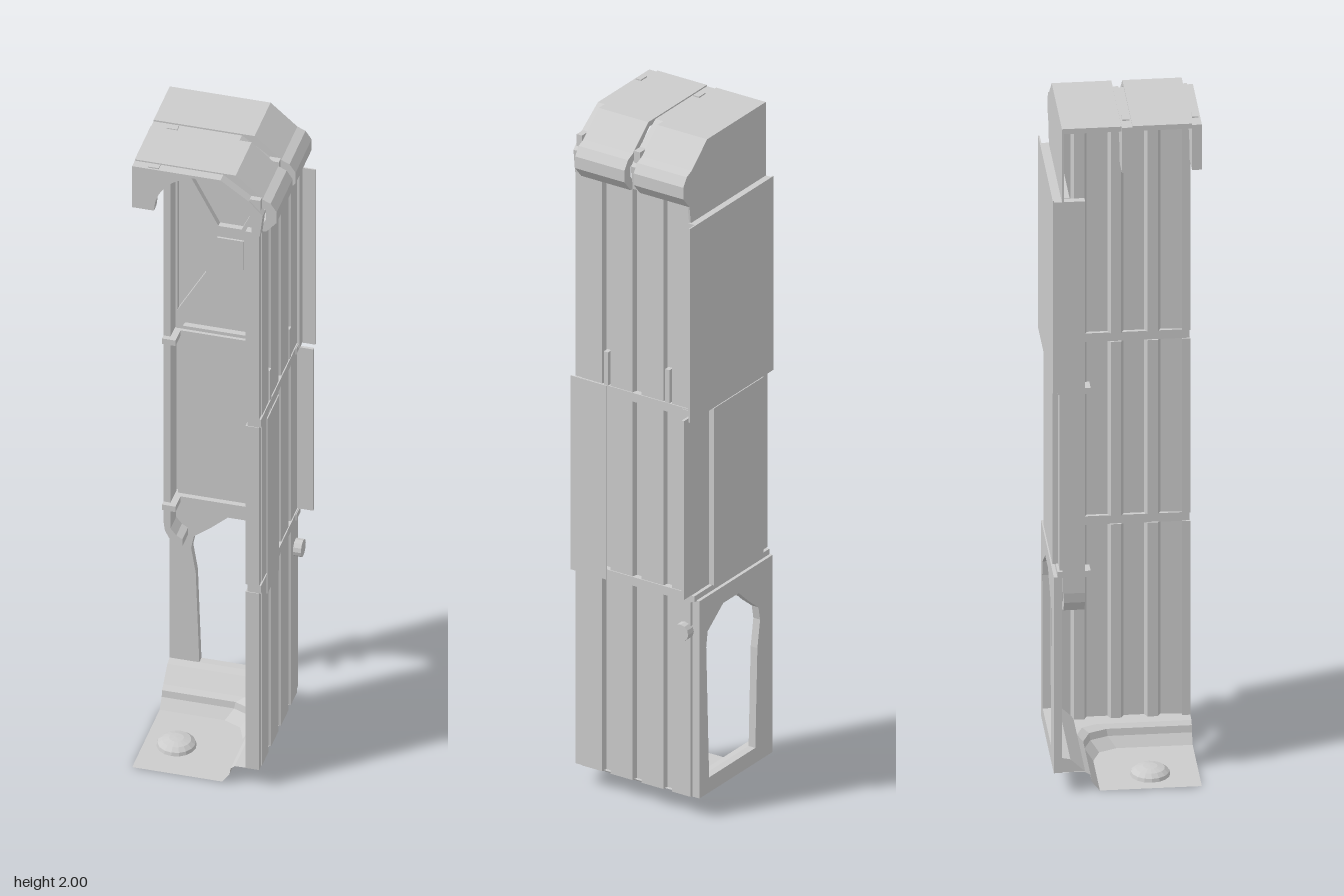
import * as THREE from 'three';

const mat = new THREE.MeshStandardMaterial({ color: 0xcccccc, flatShading: true, side: THREE.DoubleSide });

export function createModel() {
  const root = new THREE.Group();
  const add = (name, geo) => {
    const m = new THREE.Mesh(geo, mat);
    m.name = name;
    root.add(m);
    return m;
  };
  // Box from its min and max corners
  const box = (name, x0, x1, y0, y1, z0, z1) =>
    add(name, new THREE.BoxGeometry(x1 - x0, y1 - y0, z1 - z0)
      .translate((x0 + x1) / 2, (y0 + y1) / 2, (z0 + z1) / 2));
  const toShape = pts => new THREE.Shape(pts.map(p => new THREE.Vector2(...p)));
  // Front-facing outline with optional holes, extruded from z0 to z1
  const plate = (name, pts, z0, z1, holes = []) => {
    const s = toShape(pts);
    s.holes = holes.map(toShape);
    return add(name, new THREE.ExtrudeGeometry(s, { depth: z1 - z0, bevelEnabled: false }).translate(0, 0, z0));
  };

  // Roof: two shells with a sloped cornice
  const roof = [[-0.203, 2], [0.08, 2], [0.155, 1.935], [0.178, 1.925], [0.195, 1.9], [0.195, 1.865], [0.165, 1.83]];
  const inner = [[0.14, 1.83], [0.165, 1.87], [0.165, 1.9], [0.145, 1.915], [0.075, 1.985], [-0.203, 1.985]];
  for (const z of [-0.177, 0.014]) plate('roofShell', [...roof, ...inner], z, z + 0.161);

  // Arched ribs with a hanging foot at the open side
  const arch = [];
  for (let i = 0; i <= 14; i++) {
    const a = Math.PI * i / 14;
    arch.push([-0.005 + 0.137 * Math.cos(a), 1.86 + 0.13 * Math.sin(a)]);
  }
  for (const [z0, z1] of [[-0.015, 0.015], [0.175, 0.202]]) {
    plate('roofRib', [[-0.203, 1.86], [-0.203, 1.996], [0.045, 1.996], [0.125, 1.94], [0.163, 1.9],
      [0.155, 1.83], [0.132, 1.83], ...arch], z0, z1);
    box('roofClip', -0.16, -0.13, 1.98, 1.9995, z0 + 0.005, z1 - 0.005);
    box('roofClip', 0.125, 0.155, 1.91, 1.945, z0 + 0.005, z1 - 0.005);
  }

  // Back wall: gable, overhanging upper panel, recessed middle panel
  plate('backGable', [[-0.203, 1.75], ...roof, [0.155, 1.75]], -0.178, -0.172);
  box('backUpperPanel', -0.203, 0.163, 1.205, 1.78, -0.2, -0.172);
  box('backUpperSkin', -0.203, 0.2, 1.205, 1.785, -0.203, -0.199);
  box('backMiddleWall', -0.203, 0.2, 0.67, 1.205, -0.184, -0.176);
  box('backMiddleSkin', -0.16, 0.08, 0.67, 1.2, -0.2, -0.184);

  // Inside face of the back wall: cross-braced panel and plain panel
  plate('crossBrace', [[-0.18, 1.22], [0.115, 1.22], [0.115, 1.78], [-0.18, 1.78]], -0.172, -0.155, [
    [[-0.175, 1.72], [-0.175, 1.28], [-0.095, 1.42], [-0.095, 1.58]],
    [[0.1, 1.68], [0.1, 1.32], [0.04, 1.44], [0.04, 1.56]],
    [[-0.16, 1.77], [-0.06, 1.58], [0.005, 1.58], [0.095, 1.77]],
    [[-0.16, 1.23], [-0.06, 1.42], [0.005, 1.42], [0.095, 1.23]],
  ]);
  box('braceBoss', -0.063, 0.012, 1.45, 1.545, -0.172, -0.149);
  box('innerMiddlePanel', -0.175, 0.1, 0.67, 1.2, -0.176, -0.16);

  // Lower back wall with its tall opening
  const opening = [[-0.12, 0.105], [0.103, 0.105], [0.117, 0.5], [0.11, 0.545], [0.035, 0.6],
    [-0.04, 0.6], [-0.09, 0.555], [-0.135, 0.52], [-0.143, 0.48], [-0.13, 0.4]];
  plate('lowerBackWall', [[-0.203, 0.06], [0.15, 0.06], [0.15, 0.65], [-0.203, 0.65]], -0.2, -0.178, [opening]);

  // Corrugated side wall in three tiers, with ribs on the inside
  const grooves = [0.1, 0, -0.1];
  const wall = [[0.125, 0.18], [0.155, 0.18]];
  for (const z of grooves) wall.push([0.155, z + 0.014], [0.14, z + 0.01], [0.14, z - 0.01], [0.155, z - 0.014]);
  wall.push([0.155, -0.175], [0.125, -0.175]);
  for (const z of [...grooves].reverse()) wall.push([0.13, z - 0.022], [0.115, z - 0.014], [0.115, z + 0.014], [0.13, z + 0.022]);
  const wallShape = toShape(wall.map(([x, z]) => [x, -z]));
  for (const [y0, y1] of [[0.06, 0.645], [0.67, 1.195], [1.22, 1.84]]) {
    add('sideWall', new THREE.ExtrudeGeometry(wallShape, { depth: y1 - y0, bevelEnabled: false })
      .rotateX(-Math.PI / 2).translate(0, y0, 0));
    box('frontPost', 0.115, 0.153, y0, y1, 0.18, 0.202);
  }
  for (const z of [-0.1, 0.1]) box('sideRidge', 0.13, 0.157, 1.21, 1.32, z - 0.007, z + 0.007);
  box('sideFlap', 0.174, 0.177, 0.65, 1.23, 0.085, 0.202);

  // Straps at the seams
  for (const y of [0.657, 1.208]) {
    box('sideStrap', 0.12, 0.158, y - 0.013, y + 0.013, -0.18, 0.2);
    box('backStrap', -0.203, 0.16, y - 0.009, y + 0.009, -0.19, -0.15);
    box('columnHook', -0.203, -0.165, y - 0.009, y + 0.009, -0.16, -0.1);
  }

  // Edge column that curls in at its foot
  box('edgeColumn', -0.203, -0.183, 0.6, 1.78, -0.176, -0.115);
  plate('columnFoot', [[-0.203, 0.6], [-0.199, 0.57], [-0.183, 0.54], [-0.15, 0.527],
    [-0.15, 0.55], [-0.167, 0.56], [-0.183, 0.58], [-0.183, 0.6]], -0.172, -0.115);
  box('innerColumn', 0.1, 0.125, 0.6, 1.78, -0.176, -0.15);
  add('sideKnob', new THREE.CylinderGeometry(0.025, 0.025, 0.035, 12).rotateZ(Math.PI / 2).translate(0.16, 0.555, -0.157));

  // Floor pan: loops from the wide flange down to the flat plate, [right x, back z, y, corner cut]
  const loops = [[0.15, -0.19, 0.062, 0.02], [0.085, -0.115, 0.06, 0.06], [0.073, -0.1, 0.05, 0.07],
    [0.07, -0.097, 0.03, 0.07], [0.05, -0.075, 0.002, 0.07]];
  const pos = [], idx = [];
  for (const [x, z, y, c] of loops) pos.push(-0.203, y, z, x - c, y, z, x - c * 0.3, y, z + c * 0.3, x, y, z + c, x, y, 0.202);
  for (let i = 0; i < loops.length - 1; i++) {
    for (let j = 0; j < 4; j++) {
      const a = i * 5 + j;
      idx.push(a, a + 5, a + 1, a + 1, a + 5, a + 6);
    }
  }
  const last = (loops.length - 1) * 5;
  pos.push(-0.203, 0.002, 0.202);
  for (let j = 0; j < 4; j++) idx.push(pos.length / 3 - 1, last + j + 1, last + j);
  const pan = new THREE.BufferGeometry();
  pan.setAttribute('position', new THREE.Float32BufferAttribute(pos, 3));
  pan.setIndex(idx);
  pan.computeVertexNormals();
  add('floorPan', pan);
  // Sloped sill under the opening
  add('sill', new THREE.ExtrudeGeometry(toShape([[0.178, 0.062], [0.178, 0.105], [0.155, 0.1], [0.115, 0.062]]),
    { depth: 0.33, bevelEnabled: false }).rotateY(Math.PI / 2).translate(-0.203, 0, 0));
  // Low raised dome on the floor
  add('floorDome', new THREE.LatheGeometry([[0.055, 0], [0.052, 0.012], [0.04, 0.022], [0.02, 0.027], [0, 0.028]]
    .map(p => new THREE.Vector2(...p)), 16).translate(-0.115, 0, 0.07));

  return root;
}
